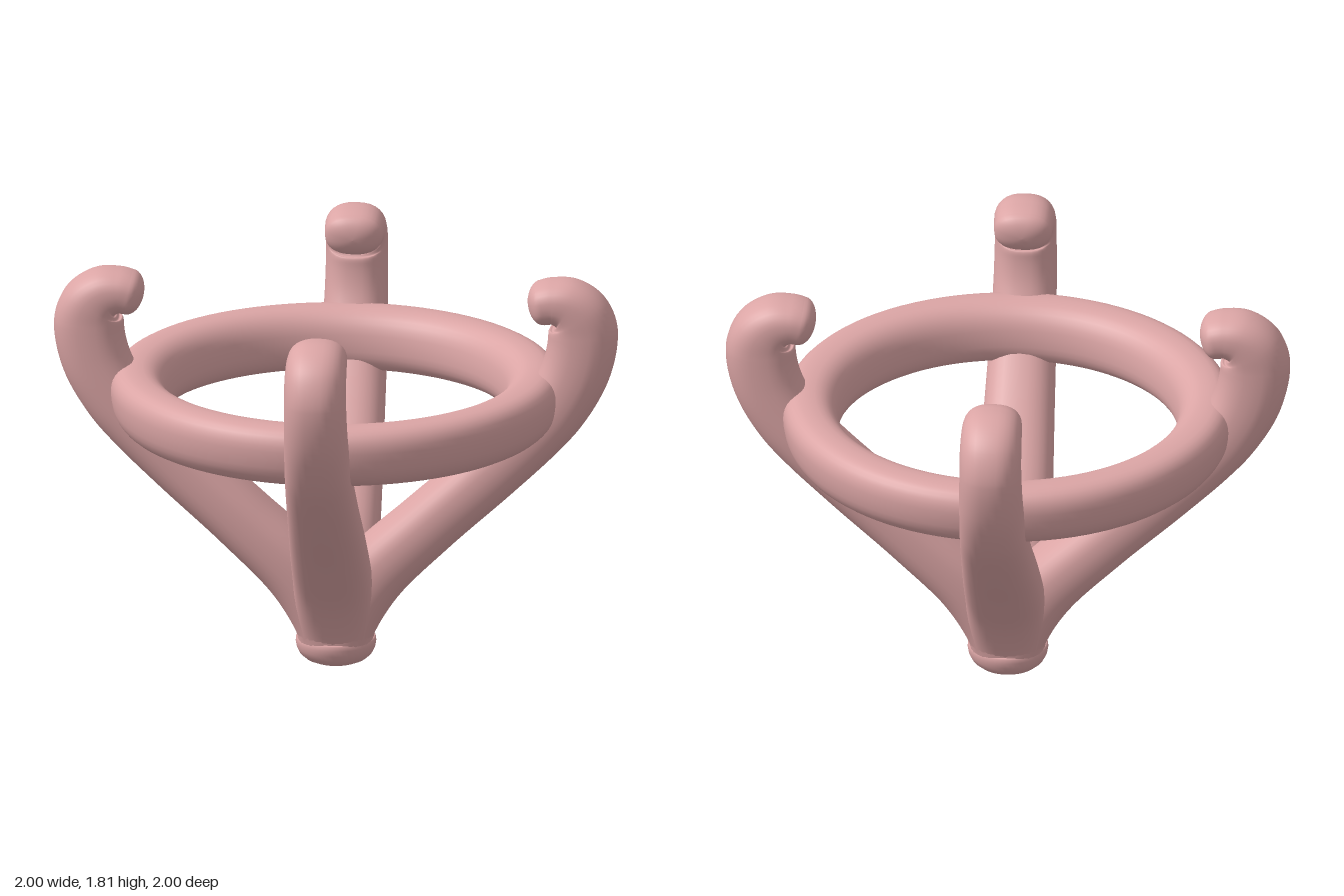
import * as THREE from 'three';
import { mergeVertices } from 'three/addons/utils/BufferGeometryUtils.js';

const material = new THREE.MeshStandardMaterial({ color: 0xdba5a5 });

// Point on a softly squared ellipse
function softEllipse(angle, a, b, power = 2.4) {
  const f = (v) => Math.sign(v) * Math.pow(Math.abs(v), 2 / power);
  return [a * f(Math.cos(angle)), b * f(Math.sin(angle))];
}

// Smooth surface of revolution with welded seams
function revolve(points, segments) {
  const lathe = new THREE.LatheGeometry(points, segments);
  lathe.deleteAttribute('normal');
  lathe.deleteAttribute('uv');
  const geometry = mergeVertices(lathe, 1e-4);
  geometry.computeVertexNormals();
  return geometry;
}

// Hooked arm: an elliptic section swept along a path in the x-y plane
function armGeometry() {
  // radius from axis, height, half thickness in plane, half width across
  const keys = [
    [0, 0.09, 0.15, 0.165], [0.03, 0.2, 0.155, 0.175], [0.16, 0.41, 0.15, 0.175],
    [0.41, 0.655, 0.14, 0.17], [0.69, 0.91, 0.138, 0.158], [0.89, 1.107, 0.14, 0.15],
    [0.985, 1.225, 0.145, 0.145], [1.07, 1.39, 0.152, 0.14], [1.1, 1.55, 0.155, 0.137],
    [1.085, 1.635, 0.14, 0.137], [1.035, 1.688, 0.117, 0.135], [0.97, 1.703, 0.1, 0.132],
    [0.92, 1.695, 0.095, 0.128],
  ];
  const path = new THREE.CatmullRomCurve3(keys.map((k) => new THREE.Vector3(k[0], k[1], 0)));
  const sizes = new THREE.CatmullRomCurve3(keys.map((k) => new THREE.Vector3(k[2], k[3], 0)));
  const sides = 32, steps = 84, capSteps = 8, capLength = 0.065;
  const positions = [], index = [];

  const addRing = (p, t, size, scale) => {
    for (let j = 0; j < sides; j++) {
      const [n, b] = softEllipse((j / sides) * Math.PI * 2, size.x * scale, size.y * scale);
      positions.push(p.x - t.y * n, p.y + t.x * n, b);
    }
  };
  for (let i = 0; i <= steps; i++) {
    const u = i / steps;
    addRing(path.getPoint(u), path.getTangent(u), sizes.getPoint(u), 1);
  }
  // Rounded tip
  const end = path.getPoint(1), dir = path.getTangent(1), endSize = sizes.getPoint(1);
  for (let i = 1; i <= capSteps; i++) {
    const a = (i / capSteps) * Math.PI / 2;
    const p = end.clone().addScaledVector(dir, capLength * Math.sin(a));
    addRing(p, dir, endSize, Math.max(Math.cos(a), 0.001));
  }
  for (let i = 0; i < steps + capSteps; i++) {
    for (let j = 0; j < sides; j++) {
      const a = i * sides + j, b = i * sides + (j + 1) % sides;
      index.push(a, b, a + sides, b, b + sides, a + sides);
    }
  }
  const geometry = new THREE.BufferGeometry();
  geometry.setAttribute('position', new THREE.Float32BufferAttribute(positions, 3));
  geometry.setIndex(index);
  geometry.computeVertexNormals();
  return geometry;
}

export function createModel() {
  const model = new THREE.Group();
  const add = (name, geometry) => {
    const mesh = new THREE.Mesh(geometry, material);
    mesh.name = name;
    model.add(mesh);
    return mesh;
  };

  // Horizontal ring, its section leaning slightly outward at the top
  const section = [];
  for (let i = 0; i <= 32; i++) {
    const [r, y] = softEllipse((i / 32) * Math.PI * 2, 0.123, 0.14, 2.5);
    section.push(new THREE.Vector2(0.875 + r + 0.12 * y, 1.238 + y));
  }
  add('ring', revolve(section, 96));

  // Four arms on the diagonals
  const arm = armGeometry();
  for (let i = 0; i < 4; i++) {
    add('arm' + (i + 1), arm).rotation.y = Math.PI / 4 + i * Math.PI / 2;
  }

  // Rounded foot joining the arms
  const foot = [
    [0, 0], [0.06, 0.002], [0.1, 0.009], [0.135, 0.024], [0.16, 0.046],
    [0.174, 0.073], [0.179, 0.1], [0.177, 0.118], [0.172, 0.124], [0.16, 0.126], [0, 0.126],
  ].map(([r, y]) => new THREE.Vector2(r, y));
  add('foot', revolve(foot, 48));

  return model;
}
